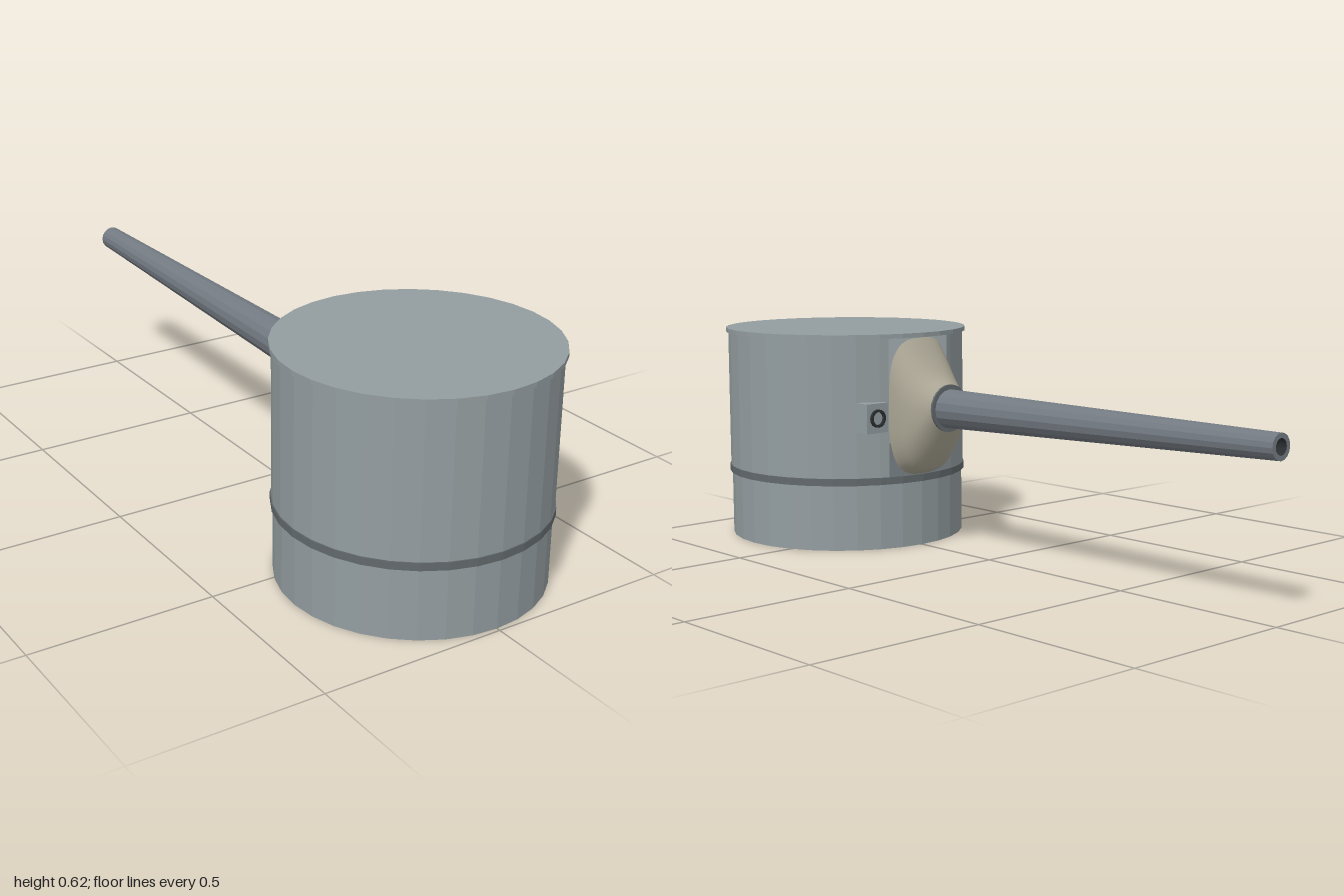
import * as THREE from 'three';
import { ParametricGeometry } from 'three/addons/geometries/ParametricGeometry.js';

const steel = 0x939da0, darkSteel = 0x62696c, barrelGrey = 0x737a82, sand = 0xaaa594, black = 0x2c2f31;
const DRUM_Z = 0.64, R = 0.354, SIDES = 32;

function add(parent, name, geometry, color, opts = {}) {
  const mesh = new THREE.Mesh(geometry, new THREE.MeshStandardMaterial({ color, ...opts }));
  mesh.name = name;
  parent.add(mesh);
  return mesh;
}

// Flat-sided disc or drum between two heights
function disc(parent, name, r, y0, y1, color) {
  const mesh = add(parent, name, new THREE.CylinderGeometry(r, r, y1 - y0, SIDES), color, { flatShading: true });
  mesh.position.y = (y0 + y1) / 2;
}

// Curved wall panel covering part of the drum
function wall(parent, name, start, length, segments) {
  const geo = new THREE.CylinderGeometry(R, R, 0.41, segments, 1, true, start, length);
  add(parent, name, geo, steel, { flatShading: true, side: THREE.DoubleSide }).position.y = 0.41;
}

// Shield: rounded rectangle on the drum opening, lofted to a round neck
function shieldGeometry() {
  // Each point holds half width, top height, bottom height
  const sections = new THREE.CatmullRomCurve3([
    [0.11, 0.61, 0.212], [0.105, 0.553, 0.23], [0.09, 0.508, 0.28], [0.067, 0.482, 0.348],
  ].map((p) => new THREE.Vector3(...p)));
  const s = new THREE.Vector3();
  return new ParametricGeometry((u, v, target) => {
    sections.getPoint(v, s);
    const a = -u * Math.PI * 2;
    const power = 2 / THREE.MathUtils.lerp(3.2, 2, v);
    const bend = (n) => Math.sign(n) * Math.abs(n) ** power;
    const x = s.x * bend(Math.cos(a));
    const y = (s.y + s.z) / 2 + ((s.y - s.z) / 2) * bend(Math.sin(a));
    const base = DRUM_Z - Math.sqrt(R * R - x * x);
    target.set(x, y, THREE.MathUtils.lerp(base, 0.168, v));
  }, 40, 14);
}

export function createModel() {
  const model = new THREE.Group();
  model.name = 'gunTurret';

  // Drum with an opening at the back
  const drum = new THREE.Group();
  drum.name = 'drum';
  drum.position.z = DRUM_Z;
  model.add(drum);
  disc(drum, 'base', 0.35, 0, 0.2, steel);
  disc(drum, 'bearingRing', 0.357, 0.19, 0.211, darkSteel);
  disc(drum, 'lid', 0.361, 0.611, 0.624, steel);
  const step = (Math.PI * 2) / SIDES;
  const gap = Math.asin(0.11 / R);
  wall(drum, 'upperWall', Math.PI + 2 * step, 28 * step, 28);
  wall(drum, 'openingEdgeRight', Math.PI + gap, 2 * step - gap, 1);
  wall(drum, 'openingEdgeLeft', Math.PI - 2 * step, 2 * step - gap, 1);

  // Shield and collar
  add(model, 'shield', shieldGeometry(), sand, { side: THREE.DoubleSide });
  const collar = add(model, 'collar', new THREE.CylinderGeometry(0.068, 0.068, 0.008, 24), darkSteel);
  collar.rotation.x = -Math.PI / 2;
  collar.position.set(0, 0.415, 0.167);

  // Tapered barrel with a hollow muzzle, rising slightly towards the tip
  const from = new THREE.Vector3(0, 0.413, 0.2), to = new THREE.Vector3(0, 0.433, -1);
  const length = from.distanceTo(to);
  const barrel = new THREE.Group();
  barrel.name = 'barrel';
  barrel.position.copy(from);
  barrel.quaternion.setFromUnitVectors(new THREE.Vector3(0, 1, 0), to.clone().sub(from).normalize());
  model.add(barrel);
  const profile = [[0.057, 0], [0.034, length], [0.021, length]].map((p) => new THREE.Vector2(...p));
  add(barrel, 'barrelTube', new THREE.LatheGeometry(profile, 16), barrelGrey, { flatShading: true });
  const bore = [[0.021, length], [0.021, length - 0.2], [0, length - 0.2]].map((p) => new THREE.Vector2(...p));
  add(barrel, 'bore', new THREE.LatheGeometry(bore, 16), black, { side: THREE.DoubleSide });

  // Sight housing beside the shield
  const housing = add(model, 'sightHousing', new THREE.BoxGeometry(0.076, 0.085, 0.06), steel);
  housing.position.set(0.162, 0.388, 0.322);
  const tube = [[0.026, 0], [0.026, 0.02], [0.019, 0.02], [0.019, 0.001], [0, 0.001]];
  const sight = add(model, 'sightTube',
    new THREE.LatheGeometry(tube.map((p) => new THREE.Vector2(...p)), 16), black, { flatShading: true });
  sight.rotation.x = -Math.PI / 2;
  sight.position.set(0.163, 0.388, 0.304);

  return model;
}
